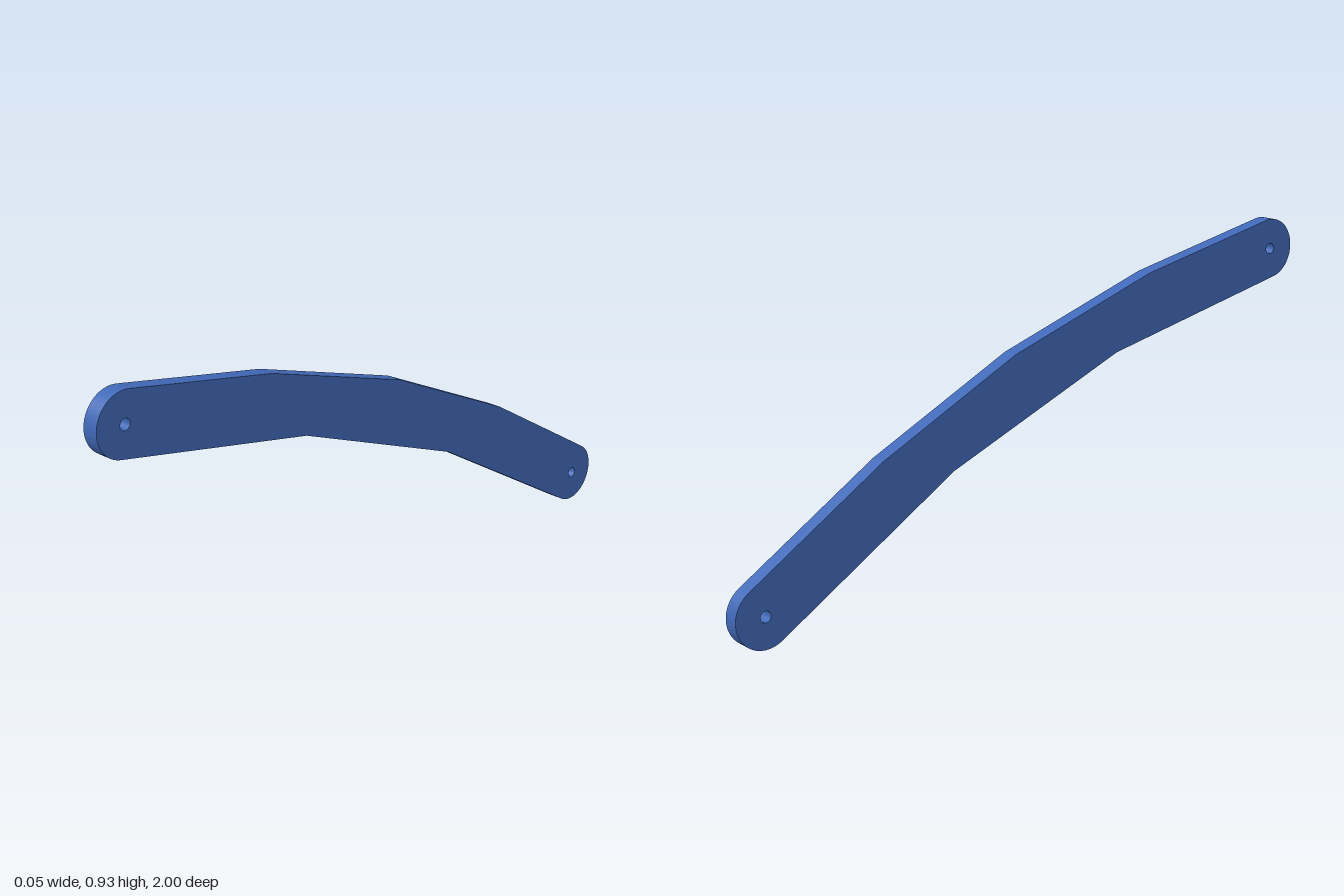
import * as THREE from 'three';
import { toCreasedNormals } from 'three/addons/utils/BufferGeometryUtils.js';

const THICKNESS = 0.047;
const END_RADIUS = 0.09;
const HOLE_RADIUS = 0.016;
const rad = THREE.MathUtils.degToRad;

export function createModel() {
  const group = new THREE.Group();
  group.name = 'curvedLinkBar';

  // Side profile, drawn with u running from the front end (-) to the back end (+)
  const front = [-0.911, 0.838];
  const back = [0.91, 0.09];
  const lowerBends = [[-0.29, 0.607], [0.299, 0.364]];
  const upperBends = [[0.534, 0.434], [0.084, 0.656], [-0.414, 0.823]];

  const profile = new THREE.Shape();
  profile.absarc(...front, END_RADIUS, rad(78), rad(258), false);
  lowerBends.forEach((p) => profile.lineTo(...p));
  profile.absarc(...back, END_RADIUS, rad(-122), rad(58), false);
  upperBends.forEach((p) => profile.lineTo(...p));
  profile.closePath();

  // Pin hole through each rounded end
  for (const end of [front, back]) {
    const hole = new THREE.Path();
    hole.absarc(...end, HOLE_RADIUS, 0, Math.PI * 2, true);
    profile.holes.push(hole);
  }

  // Flat bar: extrude across its thickness, then turn the profile into the yz plane
  const extruded = new THREE.ExtrudeGeometry(profile, {
    depth: THICKNESS, bevelEnabled: false, curveSegments: 24,
  });
  extruded.translate(0, 0, -THICKNESS / 2);
  extruded.rotateY(Math.PI / 2);

  // Rounded ends stay smooth while the bends keep crisp edges
  const bar = new THREE.Mesh(
    toCreasedNormals(extruded, 0.08),
    new THREE.MeshStandardMaterial({ color: 0x4169b8 }),
  );
  bar.name = 'bar';
  group.add(bar);
  return group;
}
